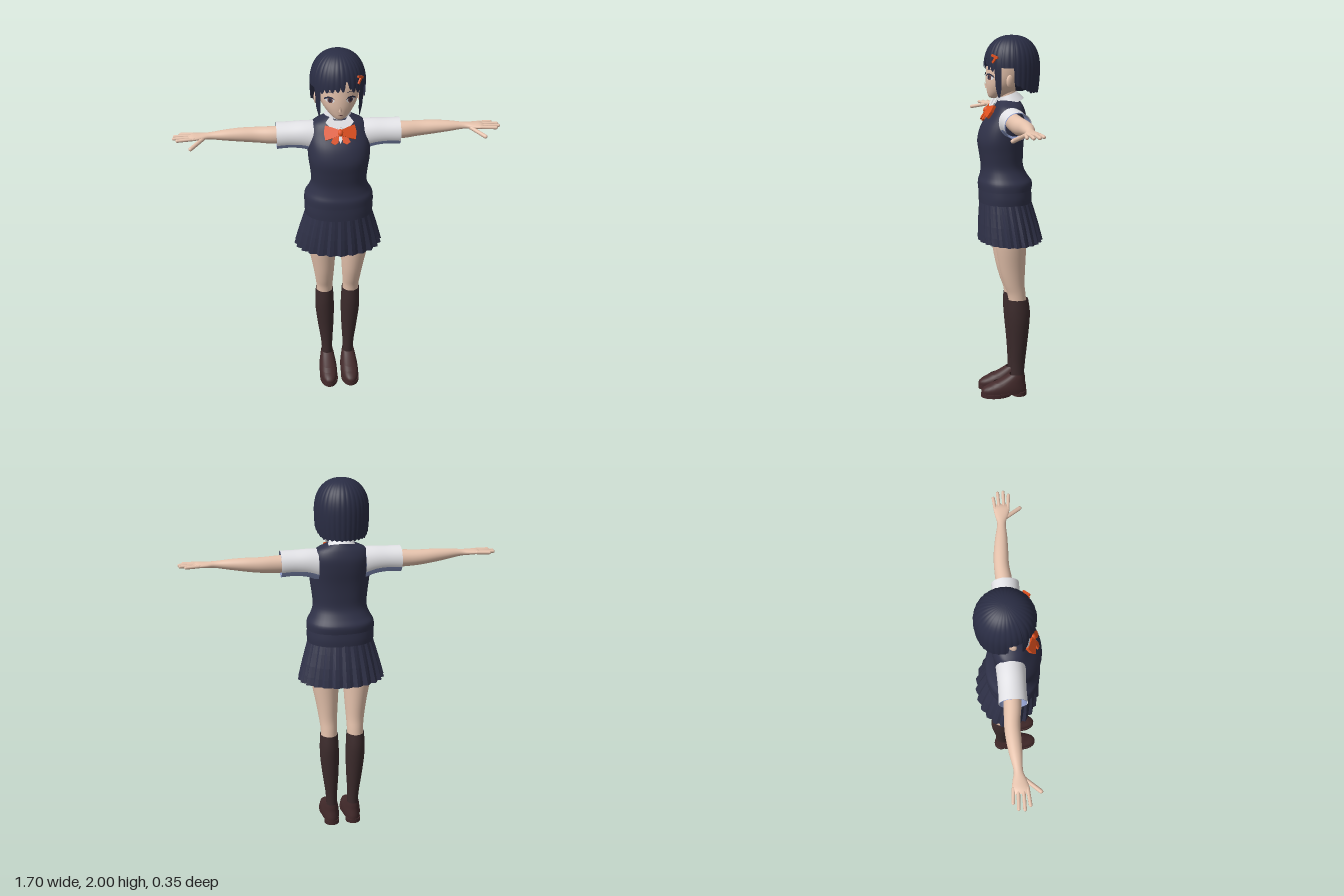
import * as THREE from 'three';

const mat = (name, color, side = THREE.DoubleSide) => {
  const m = new THREE.MeshStandardMaterial({ color, side });
  m.name = name;
  return m;
};
const M = {
  skin: mat('skin', 0xe6c3ad), hair: mat('dark hair', 0x2a2d44), navy: mat('navy knit', 0x2f3148),
  white: mat('white shirt', 0xeeeef2), shade: mat('pale blue lining', 0x8c99c6),
  sock: mat('brown sock', 0x3c2b2c), shoe: mat('brown leather', 0x432a2b),
  orange: mat('orange ribbon', 0xe2511f), iris: mat('iris brown', 0x6e4a4a),
};

function add(parent, name, geometry, material, x = 0, y = 0, z = 0) {
  const mesh = new THREE.Mesh(geometry, material);
  mesh.name = name;
  mesh.position.set(x, y, z);
  parent.add(mesh);
  return mesh;
}

// Catmull-Rom subdivision of sections [height, centreU, centreV, radiusU, radiusV]
function smooth(rows, sub = 4) {
  const out = [];
  for (let i = 0; i < rows.length - 1; i++) {
    const [a, b, c, d] = [rows[Math.max(i - 1, 0)], rows[i], rows[i + 1], rows[Math.min(i + 2, rows.length - 1)]];
    for (let k = 0; k < sub; k++) {
      const t = k / sub;
      out.push(b.map((p, j) => p + 0.5 * t * (c[j] - a[j] + t * (2 * a[j] - 5 * p + 4 * c[j] - d[j]
        + t * (3 * (p - c[j]) + d[j] - a[j])))));
    }
  }
  out.push(rows[rows.length - 1]);
  return out;
}

// Surface from a grid of points; point(i, j) runs up in i and around in j
function grid(rows, cols, closed, point, flat = false) {
  const pos = [], index = [], w = closed ? cols : cols + 1;
  for (let i = 0; i <= rows; i++) for (let j = 0; j < w; j++) pos.push(...point(i, j));
  for (let i = 0; i < rows; i++) for (let j = 0; j < cols; j++) {
    const a = i * w + j, b = i * w + (j + 1) % w;
    index.push(a, b, a + w, b, b + w, a + w);
  }
  let g = new THREE.BufferGeometry();
  g.setAttribute('position', new THREE.Float32BufferAttribute(pos, 3));
  g.setIndex(index);
  if (flat) g = g.toNonIndexed();
  g.computeVertexNormals();
  return g;
}

// Rounded tube along y; power above 2 makes it boxier
function loft(sections, { seg = 28, a0 = 0, a1 = Math.PI * 2, power = 2, sub = 4, mod = () => 1, flat = false } = {}) {
  const rows = smooth(sections, sub), n = rows.length - 1;
  const bend = s => Math.sign(s) * Math.abs(s) ** (2 / power);
  return grid(n, seg, a1 - a0 > 6.28, (i, j) => {
    const [t, u, v, ru, rv] = rows[i], a = a0 + (a1 - a0) * j / seg, m = mod(j, 1 - i / n);
    return [u + ru * m * bend(Math.sin(a)), t, v + rv * m * bend(Math.cos(a))];
  }, flat);
}
// Same along +x, with sections [x, y, z, radiusY, radiusZ]
const loftX = (s, o) => loft(s.map(([x, y, z, ry, rz]) => [x, -y, z, ry, rz]), o).rotateZ(-Math.PI / 2);

function capsule(parent, name, a, b, r) {
  const p = new THREE.Vector3(...a), q = new THREE.Vector3(...b), d = q.clone().sub(p);
  const mesh = add(parent, name, new THREE.CapsuleGeometry(r, d.length(), 4, 10), M.skin);
  mesh.position.copy(p).lerp(q, 0.5);
  mesh.quaternion.setFromUnitVectors(new THREE.Vector3(0, 1, 0), d.normalize());
}

const shapeOf = pts => new THREE.Shape(pts.map(p => new THREE.Vector2(...p)));
const plate = (pts, depth) => new THREE.ExtrudeGeometry(shapeOf(pts), { depth, bevelEnabled: false });

// Build a +x side and its mirror image
function mirrored(parent, name, build) {
  const left = new THREE.Group();
  build(left);
  const right = left.clone();
  left.name = 'left' + name;
  right.name = 'right' + name;
  right.scale.x = -1;
  parent.add(left, right);
}

const FACE = [[1.67, 0, 0.09, 0.004, 0.006], [1.677, 0, 0.083, 0.026, 0.03], [1.692, 0, 0.068, 0.046, 0.052],
  [1.715, 0, 0.045, 0.069, 0.08], [1.75, 0, 0.025, 0.092, 0.104], [1.8, 0, 0.01, 0.108, 0.118],
  [1.87, 0, 0.005, 0.112, 0.115], [1.93, 0, 0, 0.085, 0.09], [1.965, 0, 0, 0.01, 0.01]];
const faceRows = smooth(FACE);
function faceZ(x, y) {
  const i = Math.max(1, faceRows.findIndex(r => r[0] > y)), a = faceRows[i - 1], b = faceRows[i];
  const [, , c, rx, rz] = a.map((p, k) => p + (b[k] - p) * (y - a[0]) / (b[0] - a[0]));
  return c + rz * Math.sqrt(Math.max(0, 1 - (x / rx) ** 2));
}
// Thin painted patch lying on the face
function facePatch(parent, name, shape, material, lift) {
  const g = new THREE.ShapeGeometry(shape, 10), p = g.attributes.position;
  for (let i = 0; i < p.count; i++) p.setZ(i, faceZ(p.getX(i), p.getY(i)) + lift);
  g.computeVertexNormals();
  add(parent, name, g, material);
}
const oval = (x, y, rx, ry) => new THREE.Shape().absellipse(x, y, rx, ry, 0, Math.PI * 2);

// Hair hem height by angle from the front (degrees, positive to the left)
function hairHem(deg) {
  const a = Math.abs(deg), f = (deg / 11 + 100) % 1, tooth = Math.abs(2 * f - 1);
  if (a < 44) return 1.83 + 0.022 * tooth ** 2 - 0.02 * (a / 44) ** 2 + 0.05 * Math.exp(-(((deg - 14) / 4) ** 2));
  if (a < 60) return 1.68 + 0.07 * Math.abs((a - 52) / 8) ** 2;
  if (a < 86) return 1.835;
  return 1.7 + 0.05 * Math.max(0, 1 - (a - 86) / 40) + 0.008 * tooth;
}

function buildHead(model) {
  const head = new THREE.Group();
  head.name = 'head';
  model.add(head);
  add(head, 'face', loft(FACE, { seg: 36 }), M.skin);
  add(head, 'neck', loft([[1.6, 0, 0, 0.05, 0.045], [1.66, 0, 0.003, 0.04, 0.04], [1.75, 0, 0.01, 0.042, 0.045]]), M.skin);
  add(head, 'nose', new THREE.ConeGeometry(0.009, 0.03, 8).rotateX(0.35), M.skin, 0, 1.74, 0.131);
  facePatch(head, 'mouth', oval(0, 1.704, 0.013, 0.002), M.iris, 0.004);
  mirrored(head, 'FaceSide', g => {
    facePatch(g, 'eyeWhite', oval(0.052, 1.783, 0.022, 0.014), M.white, 0.003);
    facePatch(g, 'iris', oval(0.051, 1.784, 0.013, 0.015), M.iris, 0.005);
    facePatch(g, 'pupil', oval(0.051, 1.785, 0.007, 0.009), M.hair, 0.007);
    facePatch(g, 'upperLash', shapeOf([[0.024, 1.787], [0.04, 1.795], [0.06, 1.796], [0.08, 1.782],
      [0.077, 1.794], [0.06, 1.804], [0.04, 1.803]]), M.hair, 0.008);
    facePatch(g, 'eyebrow', shapeOf([[0.025, 1.82], [0.05, 1.826], [0.075, 1.818], [0.05, 1.83]]), M.hair, 0.004);
    add(g, 'ear', new THREE.SphereGeometry(1, 14, 10).scale(0.012, 0.034, 0.022).rotateY(0.45), M.skin, 0.112, 1.765, 0.018);
  });

  // Bobbed hair shell with jagged fringe and side locks
  const cols = 240, rows = 20;
  add(head, 'bobHair', grid(rows, cols, true, (i, j) => {
    const deg = j * 360 / cols, d = deg > 180 ? deg - 360 : deg, a = deg * Math.PI / 180;
    const y = 2 - (2 - hairHem(d)) * (1 - i / rows) ** 2, h = (y - 1.83) / 0.17;
    let r = h > 0 ? Math.max(1 - h ** 2.3, 0) ** (1 / 2.3) : 1 - 0.07 * ((1.83 - y) / 0.13) ** 2;
    r *= 0.985 + 0.015 * Math.abs(Math.sin(a * 16));
    return [0.143 * r * Math.sin(a), y, -0.01 + 0.15 * r * Math.cos(a)];
  }), M.hair);
  add(head, 'napeHair', new THREE.SphereGeometry(1, 24, 16).scale(0.12, 0.1, 0.09), M.hair, 0, 1.805, -0.05);
  const clip = new THREE.Group();
  clip.name = 'hairClip';
  clip.position.set(0.102, 1.885, 0.096);
  clip.rotation.y = Math.PI / 4;
  for (const [x, y, tilt] of [[0, 0.008, -0.35], [-0.002, -0.008, 0.9]])
    add(clip, 'clipBar', new THREE.BoxGeometry(0.042, 0.011, 0.009), M.orange, x, y, 0).rotation.z = tilt;
  head.add(clip);
}

function buildTorso(model) {
  add(model, 'vest', loft([[1.185, 0, 0.03, 0.184, 0.143], [1.225, 0, 0.029, 0.181, 0.144], [1.26, 0, 0.036, 0.162, 0.127],
    [1.31, 0, 0.045, 0.146, 0.113], [1.38, 0, 0.05, 0.151, 0.117], [1.45, 0, 0.052, 0.16, 0.123],
    [1.52, 0, 0.038, 0.162, 0.118], [1.58, 0, 0.018, 0.157, 0.1], [1.625, 0, 0.01, 0.135, 0.08],
    [1.65, 0, 0.007, 0.088, 0.063], [1.665, 0, 0.005, 0.055, 0.05]], { seg: 40, power: 2.25 }), M.navy);
  add(model, 'vestHem', loft([[1.115, 0, 0.028, 0.181, 0.141], [1.15, 0, 0.028, 0.183, 0.142],
    [1.195, 0, 0.03, 0.179, 0.139]], { seg: 40, power: 2.25 }), M.navy);
  // Sharp knife pleats
  add(model, 'pleatedSkirt', loft([[0.9, 0, 0, 0.234, 0.172], [1.0, 0, 0.012, 0.21, 0.16], [1.13, 0, 0.028, 0.174, 0.137]],
    { seg: 72, sub: 2, flat: true, mod: (j, low) => 1 + [0.03, 0, -0.045][j % 3] * (0.35 + 0.65 * low) }), M.navy);
  add(model, 'shorts', loft([[0.955, 0, 0.008, 0.02, 0.02], [0.965, 0, 0.008, 0.15, 0.085], [1.0, 0, 0.008, 0.178, 0.102],
    [1.12, 0, 0.02, 0.165, 0.11]]), M.navy);
  // Shirt front, collar and bow
  const front = new THREE.Group();
  front.name = 'neckwear';
  front.position.set(0, 1.6, 0.112);
  front.rotation.x = -0.55;
  model.add(front);
  add(front, 'shirtFront', plate([[0, -0.055], [0.05, 0.065], [-0.05, 0.065]], 0.006), M.white);
  add(model, 'collarBand', new THREE.CylinderGeometry(0.052, 0.076, 0.05, 28, 1, true).rotateX(0.35), M.white, 0, 1.668, 0.006);
  mirrored(front, 'BowHalf', g => {
    add(g, 'collarPoint', plate([[0.003, 0.03], [0.046, 0.09], [0.072, 0.055], [0.035, 0.012]], 0.008), M.white, 0, 0, 0.004);
    add(g, 'bowTail', plate([[0.004, 0], [0.026, -0.002], [0.05, -0.048], [0.03, -0.06], [0.012, -0.05]], 0.009), M.orange, 0, 0, 0.008);
    add(g, 'bowLoop', plate([[0, -0.014], [0.04, -0.026], [0.076, -0.034], [0.082, 0.005], [0.074, 0.042],
      [0.04, 0.03], [0, 0.014]], 0.016), M.orange, 0, 0, 0.01).rotation.y = 0.22;
  });
  add(front, 'bowKnot', new THREE.SphereGeometry(1, 12, 8).scale(0.015, 0.019, 0.014), M.orange, 0, 0, 0.02);
}

function buildArm(g) {
  const sleeve = [[0.125, 1.545, 0.01, 0.085, 0.074], [0.18, 1.556, 0.01, 0.074, 0.071],
    [0.25, 1.559, 0.01, 0.068, 0.069], [0.32, 1.557, 0.01, 0.07, 0.071]];
  const low = Math.PI / 2 - 1.1, high = Math.PI / 2 + 1.1;
  add(g, 'sleeveTop', loftX(sleeve, { a0: high, a1: low + Math.PI * 2 }), M.white);
  add(g, 'sleeveUnderside', loftX(sleeve, { a0: low, a1: high, seg: 14 }), M.shade);
  add(g, 'sleeveLining', loftX(sleeve.map(([x, y, z, a, b]) => [x, y, z, a - 0.004, b - 0.004])), M.shade);
  add(g, 'arm', loftX([[0.15, 1.56, 0.008, 0.045, 0.043], [0.32, 1.558, 0.006, 0.046, 0.043], [0.42, 1.56, -0.002, 0.041, 0.039],
    [0.5, 1.565, 0, 0.036, 0.037], [0.58, 1.569, 0.006, 0.028, 0.031], [0.655, 1.571, 0.012, 0.018, 0.022],
    [0.7, 1.571, 0.015, 0.015, 0.033], [0.745, 1.572, 0.018, 0.012, 0.042], [0.768, 1.572, 0.019, 0.003, 0.03]]), M.skin);
  const fingers = [[-0.016, 0.808, -0.022], [0.006, 0.837, 0.002], [0.03, 0.841, 0.031], [0.05, 0.822, 0.058]];
  for (const [z, tipX, tipZ] of fingers) capsule(g, 'finger', [0.74, 1.572, z], [tipX, 1.57, tipZ], 0.0088);
  capsule(g, 'thumb', [0.69, 1.567, 0.032], [0.755, 1.547, 0.112], 0.0105);
}

function buildLeg(g) {
  add(g, 'thigh', loft([[0.53, 0.075, -0.032, 0.044, 0.048], [0.6, 0.075, -0.024, 0.046, 0.05], [0.66, 0.077, -0.011, 0.051, 0.057],
    [0.75, 0.081, 0, 0.061, 0.07], [0.9, 0.09, 0.01, 0.079, 0.085], [1.02, 0.09, 0.01, 0.084, 0.09]]), M.skin);
  add(g, 'sock', loft([[0.06, 0.0625, -0.034, 0.03, 0.036], [0.13, 0.062, -0.033, 0.031, 0.037], [0.2, 0.064, -0.035, 0.034, 0.04],
    [0.3, 0.068, -0.037, 0.044, 0.048], [0.42, 0.073, -0.037, 0.053, 0.059], [0.5, 0.075, -0.036, 0.053, 0.063],
    [0.572, 0.075, -0.032, 0.049, 0.057]]), M.sock);
  // Loafer with separate sole and heel
  add(g, 'loafer', loft([[0.018, 0.0625, 0.045, 0.05, 0.128], [0.04, 0.0625, 0.044, 0.051, 0.127], [0.06, 0.0625, 0.033, 0.049, 0.113],
    [0.083, 0.0625, 0.008, 0.044, 0.084], [0.105, 0.0625, -0.014, 0.039, 0.061], [0.125, 0.0625, -0.03, 0.034, 0.043]],
  { power: 2.3 }), M.shoe);
  add(g, 'loaferStrap', loft([[0.066, 0.0625, 0.032, 0.05, 0.1], [0.082, 0.0625, 0.016, 0.046, 0.087]],
    { a0: -1.2, a1: 1.2, power: 2.3 }), M.shoe);
  add(g, 'sole', new THREE.CylinderGeometry(1, 1, 0.022, 28).scale(0.052, 1, 0.085), M.shoe, 0.0625, 0.011, 0.09);
  add(g, 'welt', new THREE.CylinderGeometry(1, 1, 0.01, 28).scale(0.051, 1, 0.129), M.shoe, 0.0625, 0.022, 0.045);
  add(g, 'heel', new THREE.CylinderGeometry(1, 1, 0.024, 24).scale(0.043, 1, 0.042), M.shoe, 0.0625, 0.012, -0.042);
}

export function createModel() {
  const model = new THREE.Group();
  model.name = 'schoolgirl';
  buildHead(model);
  buildTorso(model);
  mirrored(model, 'Arm', buildArm);
  mirrored(model, 'Leg', buildLeg);
  return model;
}
